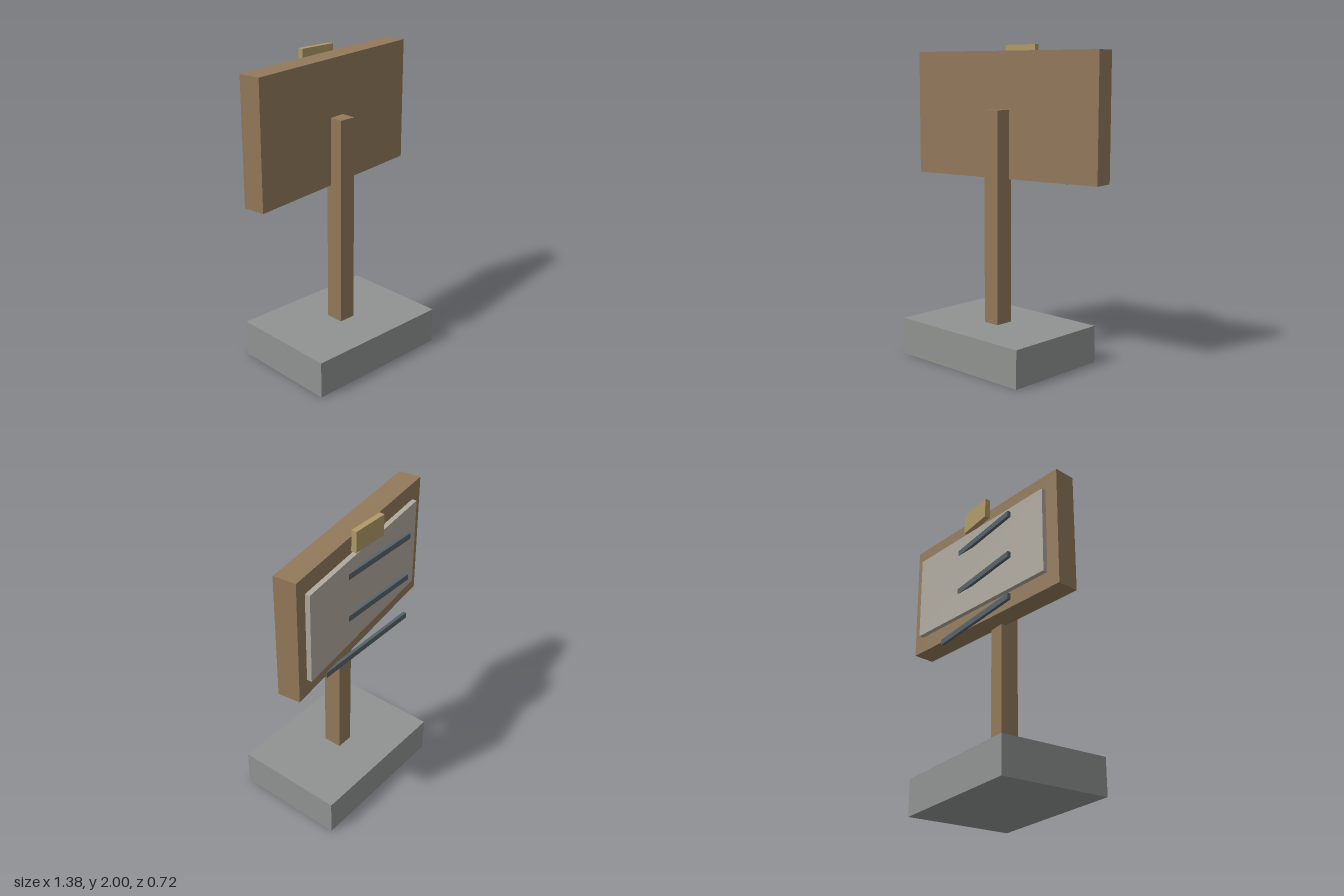
import * as THREE from 'three';

export function createModel() {
  const mat = (name, color) => {
    const m = new THREE.MeshStandardMaterial({ color });
    m.name = name;
    return m;
  };
  const wood = mat('wood', 0x92795a);
  const stone = mat('stone', 0x909391);
  const paper = mat('paper', 0xb0aa9e);
  const slate = mat('slate', 0x56636a);
  const brass = mat('brass', 0xb09a66);

  const model = new THREE.Group();
  model.name = 'signpost';

  // Box given by its size and centre
  const box = (parent, name, material, [w, h, d], [x, y, z]) => {
    const mesh = new THREE.Mesh(new THREE.BoxGeometry(w, h, d), material);
    mesh.name = name;
    mesh.position.set(x, y, z);
    parent.add(mesh);
  };

  // Plinth and upright
  box(model, 'base', stone, [1.01, 0.238, 0.724], [0, 0.119, 0]);
  box(model, 'post', wood, [0.114, 1.357, 0.122], [0, 0.9165, 0]);

  // Board turned slightly on the post, with a notice sheet on its back
  const sign = new THREE.Group();
  sign.name = 'sign';
  sign.position.set(0, 1.56, -0.108);
  sign.rotation.y = 0.14;
  model.add(sign);
  box(sign, 'board', wood, [1.373, 0.797, 0.144], [0, 0, 0]);
  box(sign, 'noticeSheet', paper, [1.197, 0.58, 0.043], [0.009, 0, -0.082]);

  // Straight text bars, partly sunk into the turned sheet
  for (let i = 0; i < 3; i++) {
    box(model, 'noticeBar', slate, [0.776, 0.038, 0.021], [0, 1.161 + i * 0.29, -0.229]);
  }

  // Clip at the top edge
  box(model, 'clip', brass, [0.252, 0.135, 0.036], [0, 1.9325, -0.218]);

  return model;
}
